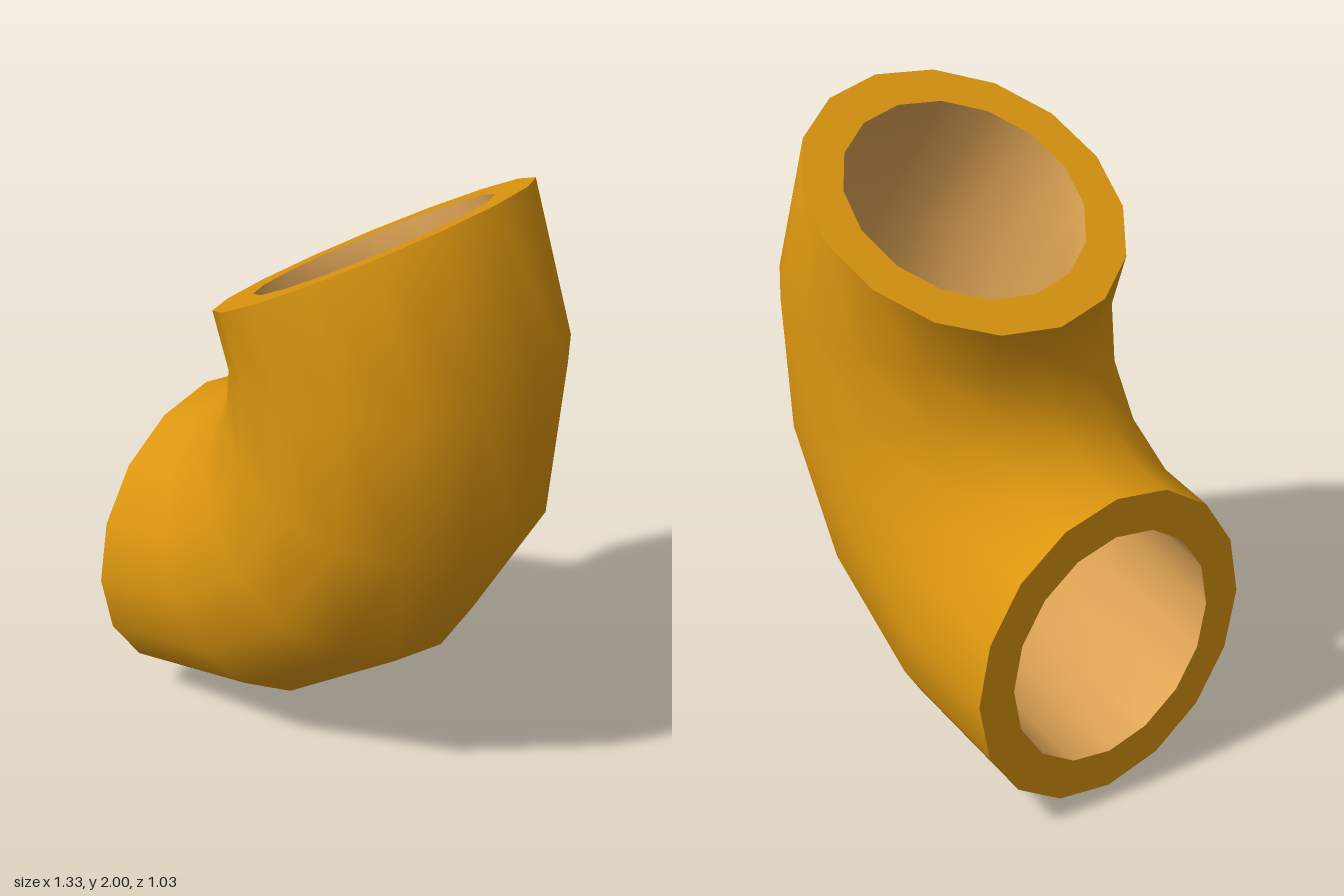
import * as THREE from 'three';

const SIDES = 16, STEPS = 5, ARC = THREE.MathUtils.degToRad(120);
const BEND = 0.82, OUTER = 0.515, INNER = 0.385;
const CENTRE_X = -0.66, CENTRE_Y = 1.335; // centre of the bend

// Swept tube that starts facing -x and bends upward
function bentTube(radius) {
  return new THREE.TorusGeometry(BEND, radius, SIDES, STEPS, ARC)
    .rotateZ(-Math.PI / 2)
    .translate(CENTRE_X, CENTRE_Y, 0);
}

// Flat ring closing the wall at an angle along the bend
function rim(angle, faceSign) {
  return new THREE.RingGeometry(INNER, OUTER, SIDES)
    .rotateY(faceSign * Math.PI / 2)
    .rotateZ(angle)
    .translate(CENTRE_X + BEND * Math.sin(angle), CENTRE_Y - BEND * Math.cos(angle), 0);
}

// Turn a surface inside out
function invert(geometry) {
  geometry.index.array.reverse();
  const n = geometry.attributes.normal;
  for (let i = 0; i < n.count; i++) n.setXYZ(i, -n.getX(i), -n.getY(i), -n.getZ(i));
  return geometry;
}

export function createModel() {
  const group = new THREE.Group();
  group.name = 'pipeElbow';

  const shell = new THREE.MeshStandardMaterial({ name: 'amber', color: 0xdc960f });
  const lining = new THREE.MeshStandardMaterial({ name: 'paleAmber', color: 0xe0a556 });

  const add = (name, geometry, material) => {
    const mesh = new THREE.Mesh(geometry, material);
    mesh.name = name;
    group.add(mesh);
  };

  add('outerWall', bentTube(OUTER), shell);
  add('innerWall', invert(bentTube(INNER)), lining);
  add('lowerRim', rim(0, -1), shell);
  add('upperRim', rim(ARC, 1), shell);

  return group;
}
